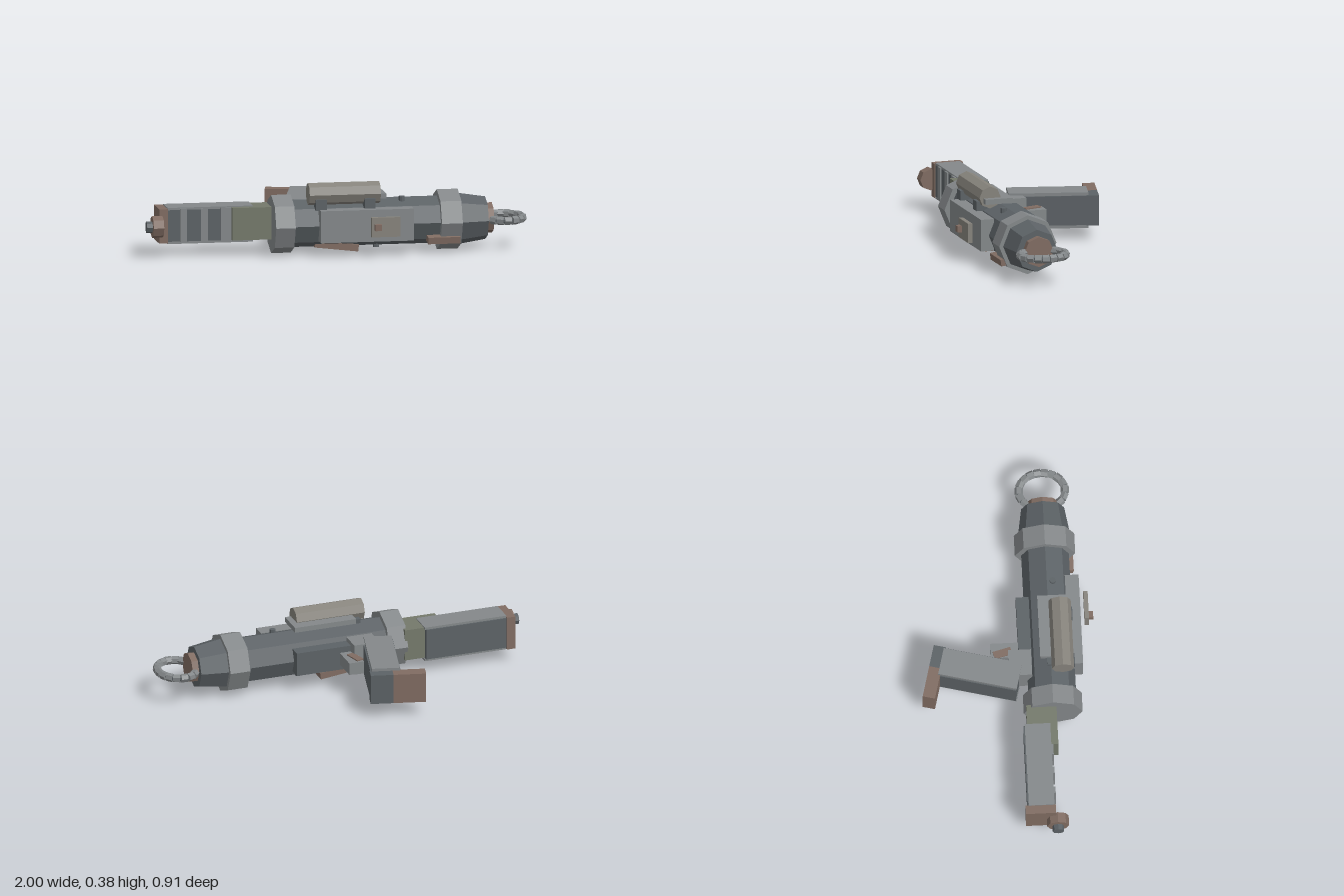
import * as THREE from 'three';

const paint = (color) => new THREE.MeshStandardMaterial({ color, flatShading: true });

export function createModel() {
  const root = new THREE.Group();
  root.name = 'model';
  const dark = paint(0x5c6266), steel = paint(0x84888a), brown = paint(0x806c62);
  const green = paint(0x74796b), warm = paint(0x86837c);
  const CY = 0.158, CZ = 0.22; // main axis, running along x

  const add = (name, geo, mat, parent = root) => {
    const m = new THREE.Mesh(geo, mat);
    m.name = name;
    parent.add(m);
    return m;
  };
  // box given by its ranges
  const box = (name, mat, x0, x1, y0, y1, z0, z1, parent = root) => {
    const m = add(name, new THREE.BoxGeometry(x1 - x0, y1 - y0, z1 - z0), mat, parent);
    m.position.set((x0 + x1) / 2, (y0 + y1) / 2, (z0 + z1) / 2);
    return m;
  };
  // eight-sided drum along x, from radius r0 at x0 to r1 at x1
  const drum = (name, mat, x0, x1, r0, r1 = r0, y = CY, z = CZ) => {
    const m = add(name, new THREE.CylinderGeometry(r1, r0, x1 - x0, 8), mat);
    m.rotation.z = -Math.PI / 2;
    m.position.set((x0 + x1) / 2, y, z);
    return m;
  };

  // main body
  drum('body', dark, -0.34, 0.64, 0.124);
  drum('rearCollar', steel, -0.343, -0.24, 0.153);
  drum('frontCollar', steel, 0.53, 0.64, 0.157);
  drum('muzzleTaper', dark, 0.64, 0.785, 0.135, 0.112);
  drum('muzzleCap', brown, 0.785, 0.82, 0.08);

  // segmented loop at the muzzle
  const loop = new THREE.Group();
  loop.name = 'muzzleLoop';
  root.add(loop);
  const pts = [];
  const N = 14, span = 2.45;
  for (let i = 0; i <= N; i++) {
    const a = -span + (2 * span * i) / N;
    pts.push(new THREE.Vector3(0.881 + 0.099 * Math.cos(a), CY, CZ + 0.12 * Math.sin(a)));
  }
  const curve = new THREE.CatmullRomCurve3(pts);
  add('loopCore', new THREE.TubeGeometry(curve, 28, 0.015, 6), dark, loop);
  for (let i = 0; i < N; i++) {
    const link = add('loopLink', new THREE.CylinderGeometry(0.022, 0.022, 0.036, 6), steel, loop);
    link.position.copy(curve.getPointAt((i + 0.5) / N));
    link.quaternion.setFromUnitVectors(new THREE.Vector3(0, 1, 0), curve.getTangentAt((i + 0.5) / N));
  }

  // grip
  box('gripNeck', green, -0.55, -0.33, 0.08, 0.25, 0.08, 0.237);
  box('gripCore', dark, -0.885, -0.44, 0.077, 0.243, 0.06, 0.2);
  box('gripTopPlate', steel, -0.885, -0.435, 0.243, 0.255, 0.067, 0.2);
  box('gripBottomPlate', steel, -0.885, -0.435, 0.065, 0.077, 0.067, 0.2);
  for (const [a, b] of [[-0.82, -0.785], [-0.71, -0.675], [-0.605, -0.55]])
    box('gripRib', steel, a, b, 0.077, 0.25, 0.19, 0.21);
  box('gripEnd', brown, -0.93, -0.883, 0.07, 0.25, 0.05, 0.207);
  drum('endKnob', brown, -0.97, -0.915, 0.057, 0.057, 0.16, 0.215);
  drum('endPin', dark, -1, -0.965, 0.03, 0.03, 0.16, 0.215);

  // front side panel and button
  box('sidePanel', steel, -0.11, 0.38, 0.077, 0.245, 0.315, 0.387);
  box('buttonPlate', warm, 0.15, 0.3, 0.107, 0.21, 0.407, 0.43);
  box('button', brown, 0.165, 0.2, 0.143, 0.176, 0.43, 0.453);

  // sight on its mount
  drum('sight', warm, -0.16, 0.215, 0.058, 0.058, 0.32, 0.28);
  box('sightMount', steel, -0.09, 0.247, 0.29, 0.317, 0.165, 0.315);
  for (const x of [-0.1, 0.157])
    box('sightFoot', dark, x - 0.028, x + 0.028, 0.24, 0.297, 0.2, 0.344);

  // small studs above and below
  for (const [x, y, z] of [[0.34, 0.268, 0.25], [0.21, 0.045, 0.22]]) {
    const stud = add('stud', new THREE.CylinderGeometry(0.016, 0.016, 0.045, 8), dark);
    stud.position.set(x, y, z);
  }

  // brown pads on the underside
  const pad = box('lowerPad', brown, -0.12, 0.11, 0.022, 0.057, 0.155, 0.27);
  pad.rotation.z = -0.12;
  const sidePad = box('lowerSidePad', brown, 0.46, 0.63, 0.055, 0.09, 0.3, 0.364);
  sidePad.rotation.x = 0.15;

  // rear rail and magazine mount
  box('rearRail', dark, -0.1, 0.277, 0.095, 0.222, 0.055, 0.14);
  box('magazineSocket', steel, -0.16, -0.02, 0.08, 0.245, 0.0, 0.12);
  box('latch', steel, -0.04, 0.04, 0.125, 0.19, -0.09, 0.07);
  const latchPad = box('latchPad', brown, -0.035, 0.005, 0.15, 0.196, -0.075, 0.02);
  latchPad.rotation.y = 0.25;

  // slanted magazine with an L-shaped end
  const mag = new THREE.Group();
  mag.name = 'magazine';
  mag.position.set(-0.11, 0, -0.175);
  mag.rotation.y = -0.25;
  root.add(mag);
  box('magazineCore', dark, -0.078, 0.08, 0.082, 0.238, -0.18, 0.232, mag);
  box('magazineTopPlate', steel, -0.073, 0.073, 0.238, 0.255, -0.18, 0.235, mag);
  box('magazineBottomPlate', steel, -0.073, 0.073, 0.065, 0.082, -0.18, 0.235, mag);
  box('magazineEnd', dark, -0.035, 0.084, 0.08, 0.24, -0.235, -0.17, mag);
  box('magazineFoot', brown, -0.205, -0.035, 0.08, 0.24, -0.235, -0.17, mag);

  return root;
}
